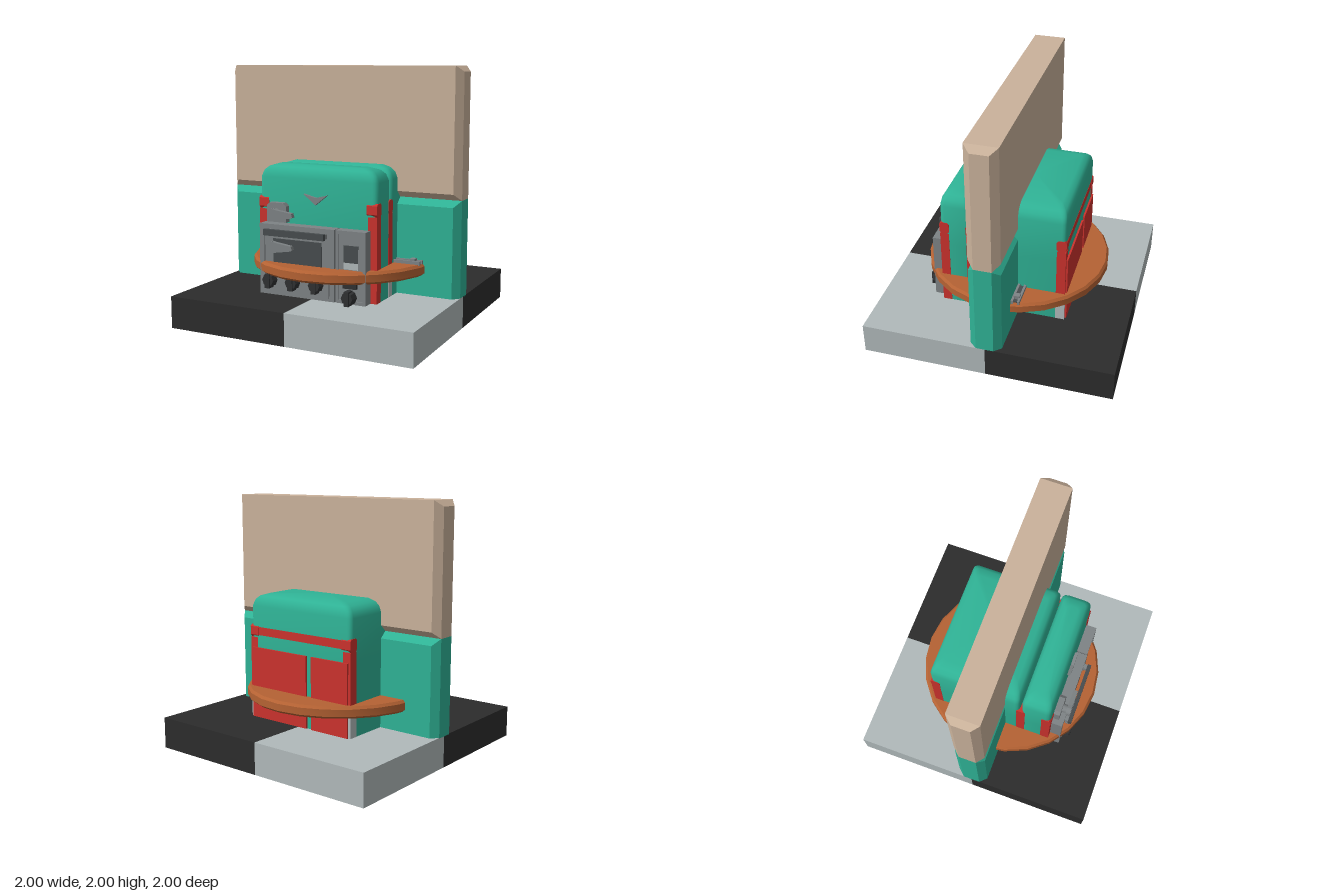
import * as THREE from 'three';
import { toCreasedNormals } from 'three/addons/utils/BufferGeometryUtils.js';
import { ConvexGeometry } from 'three/addons/geometries/ConvexGeometry.js';

const mat = (name, color, side = THREE.FrontSide) => {
  const m = new THREE.MeshStandardMaterial({ color, side });
  m.name = name;
  return m;
};

export function createModel() {
  const root = new THREE.Group();
  const M = {
    light: mat('light tile', 0xb0b9ba),
    dark: mat('dark tile', 0x2c2c2c),
    tan: mat('tan wall', 0xcab29b),
    green: mat('green', 0x2fb295),
    red: mat('red', 0xcb322d),
    wood: mat('wood', 0xb56233),
    steel: mat('steel', 0x7e8385),
    iron: mat('dark steel', 0x474c4e),
    black: mat('knob black', 0x303133),
  };
  const add = (name, geo, m, parent = root) => {
    const mesh = new THREE.Mesh(geo, m);
    mesh.name = name;
    parent.add(mesh);
    return mesh;
  };
  // box given by its minimum and maximum corners
  const box = (name, m, x0, x1, y0, y1, z0, z1, parent) => {
    const b = add(name, new THREE.BoxGeometry(x1 - x0, y1 - y0, z1 - z0), m, parent);
    b.position.set((x0 + x1) / 2, (y0 + y1) / 2, (z0 + z1) / 2);
    return b;
  };

  // Checkered floor
  for (const sx of [-1, 1]) for (const sz of [-1, 1])
    box('floorTile', sx === sz ? M.light : M.dark, Math.min(0, sx), Math.max(0, sx), 0, 0.25, Math.min(0, sz), Math.max(0, sz));

  // Bevelled wall panels: a broad face ring and a narrower end ring
  const panel = (name, m, face, end) => {
    const pts = [];
    for (const sx of [-1, 1]) for (const sz of [-1, 1]) {
      for (const y of face) pts.push(new THREE.Vector3(sx * 0.95, y, sz * 0.125));
      for (const y of end) pts.push(new THREE.Vector3(sx, y, sz * 0.07));
    }
    add(name, new ConvexGeometry(pts), m);
  };
  panel('lowerWall', M.green, [0.245, 0.95], [0.245, 1]);
  panel('upperWall', M.tan, [1.05, 2], [1, 1.955]);

  // Upholstered blocks: rounded rectangles stacked upward
  const cushion = (name, z0, z1, r) => {
    const layers = [[0.25, 0, 0], [0.8, 0, 0], [1.15, 0, 0], [1.2, 0.02, 0.01], [1.23, 0.055, 0.03], [1.25, 0.12, 0.07]];
    const pos = [], idx = [], zc = (z0 + z1) / 2, hz = (z1 - z0) / 2, n = 16;
    for (const [y, ix, iz] of layers)
      for (let j = 0; j < n; j++) {
        const q = Math.floor(j / 4), a = (q + (j % 4) / 3) * Math.PI / 2;
        const sx = q === 0 || q === 3 ? 1 : -1, sz = q < 2 ? 1 : -1;
        pos.push(sx * (0.5 - ix - r) + r * Math.cos(a), y, zc + sz * (hz - iz - r) + r * Math.sin(a));
      }
    for (let i = 0; i < layers.length - 1; i++)
      for (let j = 0; j < n; j++) {
        const a = i * n + j, b = i * n + (j + 1) % n;
        idx.push(a, a + n, b, b, a + n, b + n);
      }
    const top = (layers.length - 1) * n;
    pos.push(0, 1.25, zc);
    for (let j = 0; j < n; j++) idx.push(top + n, top + (j + 1) % n, top + j);
    const g = new THREE.BufferGeometry();
    g.setAttribute('position', new THREE.Float32BufferAttribute(pos, 3));
    g.setIndex(idx);
    add(name, toCreasedNormals(g, 0.8), M.green);
  };
  cushion('mainBlock', -0.5, 0.243, 0.035);
  cushion('frontBlock', 0.257, 0.5, 0.04);

  // Red corner posts with caps and pale feet
  const post = (sx, z0, z1, foot) => {
    const span = (a, b) => (sx > 0 ? [a, b] : [-b, -a]);
    box('post', M.red, ...span(0.43, 0.502), foot ? 0.43 : 0.25, 0.9, z0, z1);
    if (foot) box('postFoot', M.light, ...span(0.43, 0.502), 0.25, 0.43, z0, z1);
    const s = new THREE.Shape();
    const w = (z1 - z0) / 2 + 0.003;
    [[-w, 0.92], [-w + 0.015, 0.9], [w - 0.015, 0.9], [w, 0.92], [w, 0.985], [w - 0.015, 1], [-w + 0.015, 1], [-w, 0.985]]
      .forEach(([x, y], i) => (i ? s.lineTo(x, y) : s.moveTo(x, y)));
    const cap = add('postCap', new THREE.ExtrudeGeometry(s, { depth: 0.085, bevelEnabled: false }), M.red);
    cap.rotation.y = Math.PI / 2;
    cap.position.set(sx > 0 ? 0.418 : -0.503, 0, (z0 + z1) / 2);
  };
  for (const sx of [-1, 1]) {
    post(sx, 0.43, 0.502, false);
    post(sx, 0.22, 0.29, true);
    post(sx, -0.502, -0.43, true);
  }

  // Back panels and rail
  box('backPanelWide', M.red, -0.08, 0.48, 0.25, 0.82, -0.515, -0.495);
  box('backPanelNarrow', M.red, -0.48, -0.13, 0.25, 0.82, -0.515, -0.495);
  box('backRail', M.red, -0.45, 0.45, 0.92, 0.985, -0.502, -0.495);

  // Round table top
  const profile = [[0, 0.41], [0.72, 0.41], [0.745, 0.43], [0.745, 0.485], [0.728, 0.505], [0, 0.505]];
  add('tableTop', toCreasedNormals(new THREE.LatheGeometry(profile.map(p => new THREE.Vector2(...p)), 24), 0.5), M.wood);

  // Side rails resting on the table
  for (const s of [-1, 1]) {
    for (const z of [0.135, 0.185]) {
      const c = s * z;
      box('sideRail', M.steel, 0.5, 0.715, 0.5, 0.53, c - 0.009, c + 0.009);
    }
    box('sideTray', M.iron, 0.5, 0.7, 0.5, 0.515, s * 0.16 - 0.02, s * 0.16 + 0.02);
    box('railBracket', M.steel, 0.63, 0.67, 0.5, 0.545, s * 0.16 - 0.025, s * 0.16 + 0.025);
  }

  // Cooker cabinets
  const cooker = new THREE.Group();
  cooker.name = 'cooker';
  root.add(cooker);
  const frame = (name, x0, x1, y0, y1, w, z0, z1) => {
    box(name, M.steel, x0, x0 + w, y0, y1, z0, z1, cooker);
    box(name, M.steel, x1 - w, x1, y0, y1, z0, z1, cooker);
    box(name, M.steel, x0 + w, x1 - w, y1 - w, y1, z0, z1, cooker);
    box(name, M.steel, x0 + w, x1 - w, y0, y0 + w, z0, z1, cooker);
  };
  box('mainCabinet', M.steel, -0.44, 0.19, 0.25, 0.79, 0.49, 0.58, cooker);
  box('sideCabinet', M.steel, 0.205, 0.44, 0.25, 0.79, 0.49, 0.575, cooker);
  box('cabinetGap', M.iron, 0.185, 0.21, 0.25, 0.785, 0.49, 0.57, cooker);
  frame('mainFrame', -0.45, 0.195, 0.25, 0.8, 0.04, 0.49, 0.592);
  frame('sideFrame', 0.203, 0.45, 0.25, 0.8, 0.025, 0.49, 0.588);
  box('ovenWindow', M.iron, -0.335, 0.085, 0.5, 0.69, 0.578, 0.586, cooker);
  box('sideWindow', M.iron, 0.265, 0.385, 0.56, 0.69, 0.57, 0.579, cooker);
  box('sideSill', M.light, 0.265, 0.385, 0.51, 0.56, 0.57, 0.579, cooker);
  box('ovenHandle', M.iron, -0.385, 0.135, 0.72, 0.768, 0.62, 0.65, cooker);
  for (const x of [-0.36, 0.11]) box('handleMount', M.steel, x - 0.02, x + 0.02, 0.725, 0.763, 0.58, 0.625, cooker);
  box('controlPanel', M.steel, -0.4, 0.15, 0.27, 0.4, 0.57, 0.598, cooker);

  // Control knobs: faceted dial with a grip
  const knob = (x, y, r, gripY) => {
    const dial = add('knobDial', new THREE.CylinderGeometry(r * 0.8, r, 0.06, 8).toNonIndexed(), M.black, cooker);
    dial.geometry.computeVertexNormals();
    dial.rotation.x = Math.PI / 2;
    dial.position.set(x, y, 0.62);
    box('knobGrip', M.black, x - 0.02, x + 0.02, y - r, gripY, 0.59, 0.66, cooker);
  };
  for (const x of [-0.35, -0.15, 0.05]) knob(x, 0.37, 0.06, 0.42);
  knob(0.325, 0.305, 0.058, 0.36);
  box('sideSwitch', M.black, 0.27, 0.38, 0.37, 0.42, 0.57, 0.605, cooker);

  // Lever handles: pivot with a tapering arm
  const lever = (x, y, z) => {
    const arm = new THREE.Shape();
    arm.moveTo(0, 0.042);
    arm.lineTo(0.03, 0.035);
    arm.lineTo(0.165, 0.018);
    arm.lineTo(0.175, -0.012);
    arm.lineTo(0.16, -0.02);
    arm.lineTo(0.03, -0.042);
    arm.absarc(0, 0, 0.044, -Math.PI / 2, -Math.PI * 1.5, true);
    const a = add('leverArm', new THREE.ExtrudeGeometry(arm, { depth: 0.035, bevelEnabled: false, curveSegments: 5 }), M.steel);
    a.position.set(x, y, z);
    const p = add('leverPivot', new THREE.CylinderGeometry(0.032, 0.038, 0.08, 12), M.steel);
    p.rotation.x = Math.PI / 2;
    p.position.set(x, y, z - 0.025);
  };
  const plate = new THREE.Shape();
  [[-0.41, 0.81], [-0.24, 0.81], [-0.24, 0.935], [-0.265, 0.96], [-0.385, 0.96], [-0.41, 0.935]]
    .forEach(([x, y], i) => (i ? plate.lineTo(x, y) : plate.moveTo(x, y)));
  add('leverPlate', new THREE.ExtrudeGeometry(plate, { depth: 0.06, bevelEnabled: false }), M.steel).position.z = 0.49;
  lever(-0.32, 0.88, 0.585);
  lever(-0.32, 0.63, 0.595);

  // Chevron trim on the front block
  const chevron = new THREE.Shape();
  chevron.moveTo(-0.1, 1.04);
  chevron.lineTo(0, 0.96);
  chevron.lineTo(0.1, 1.04);
  chevron.lineTo(0, 1.015);
  add('chevronTrim', new THREE.ExtrudeGeometry(chevron, { depth: 0.035, bevelEnabled: false }), M.steel).position.z = 0.49;

  return root;
}
